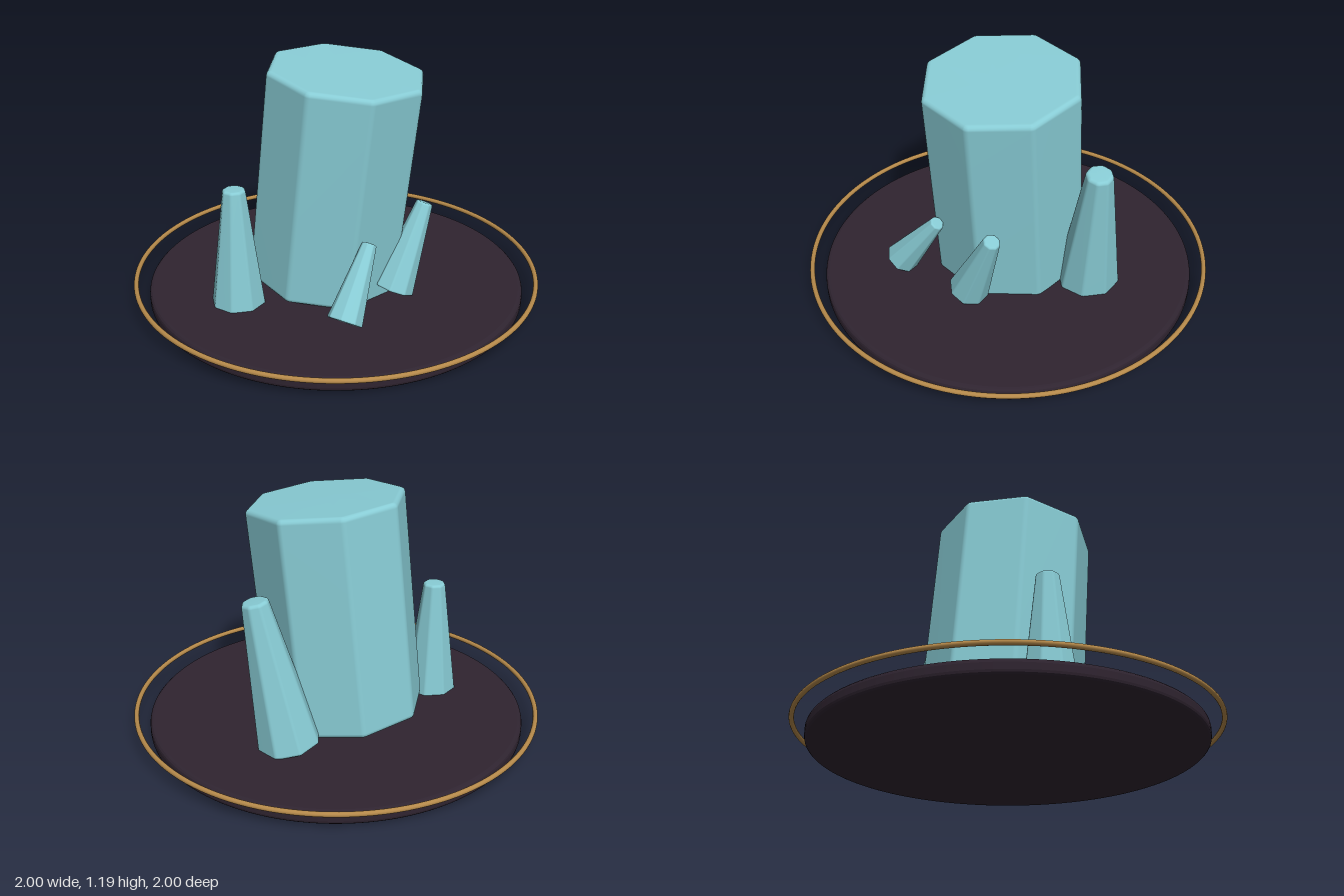
import * as THREE from 'three';

const crystalBlue = new THREE.MeshStandardMaterial({ color: 0x88ccd5 });
crystalBlue.name = 'crystalBlue';
const darkPlum = new THREE.MeshStandardMaterial({ color: 0x2f2430 });
darkPlum.name = 'darkPlum';
const bronze = new THREE.MeshStandardMaterial({ color: 0xb5894a });
bronze.name = 'bronze';

const SIDES = 8, ARC = 4, STEPS = 4;

// Tapered octagonal prism with rounded edges, standing on the origin.
// r0 and r1 are the centre-to-side distances at the base and tip.
function crystalGeometry(r0, r1, length, bevel) {
  const layers = [];
  for (let i = 0; i <= STEPS; i++) {
    const t = (i / STEPS) * Math.PI / 2;
    layers.push([bevel * (1 - Math.sin(t)), bevel * (1 - Math.cos(t))]);
  }
  const upper = layers.map(([inset, y]) => [inset, length - y]).reverse();
  layers.push(...upper);

  const positions = [], index = [];
  const half = Math.PI / SIDES, ring = SIDES * (ARC + 1);
  for (const [inset, y] of layers) {
    const fillet = 1.5 * bevel;
    const apothem = r0 + (r1 - r0) * (y / length);
    const centre = (apothem - fillet) / Math.cos(half);
    for (let s = 0; s < SIDES; s++) {
      const a = (2 * s + 1) * half;
      for (let k = 0; k <= ARC; k++) {
        const b = a + half * (2 * k / ARC - 1), f = fillet - inset;
        positions.push(centre * Math.cos(a) + f * Math.cos(b), y,
          centre * Math.sin(a) + f * Math.sin(b));
      }
    }
  }
  const last = (layers.length - 1) * ring, bottom = layers.length * ring;
  positions.push(0, 0, 0, 0, length, 0);
  for (let i = 0; i < ring; i++) {
    const n = (i + 1) % ring;
    for (let l = 0; l < last; l += ring) {
      index.push(l + i, l + ring + i, l + n, l + n, l + ring + i, l + ring + n);
    }
    index.push(bottom, i, n, bottom + 1, last + n, last + i);
  }
  const geometry = new THREE.BufferGeometry();
  geometry.setAttribute('position', new THREE.Float32BufferAttribute(positions, 3));
  geometry.setIndex(index);
  geometry.computeVertexNormals();
  return geometry;
}

// Crystal running from the centre of its base to the centre of its tip
function crystal(name, base, tip, r0, r1, bevel, roll = 0) {
  const from = new THREE.Vector3(...base);
  const axis = new THREE.Vector3(...tip).sub(from);
  const geometry = crystalGeometry(r0, r1, axis.length(), bevel);
  geometry.rotateY(roll);
  const mesh = new THREE.Mesh(geometry, crystalBlue);
  mesh.name = name;
  mesh.position.copy(from);
  mesh.quaternion.setFromUnitVectors(new THREE.Vector3(0, 1, 0), axis.normalize());
  return mesh;
}

export function createModel() {
  const model = new THREE.Group();
  model.name = 'crystalCluster';

  // Round platform with a softened rim
  const bevel = 0.02;
  const disc = new THREE.Shape().absarc(0, 0, 0.925 - bevel, 0, Math.PI * 2, false);
  const platformGeometry = new THREE.ExtrudeGeometry(disc, {
    depth: 0.07 - 2 * bevel, bevelThickness: bevel, bevelSize: bevel,
    bevelSegments: 3, curveSegments: 64,
  });
  platformGeometry.translate(0, 0, bevel).rotateX(-Math.PI / 2);
  const platform = new THREE.Mesh(platformGeometry, darkPlum);
  platform.name = 'platform';
  model.add(platform);

  // Thin ring floating around the platform
  const ring = new THREE.Mesh(new THREE.TorusGeometry(0.988, 0.012, 12, 128), bronze);
  ring.name = 'ring';
  ring.rotation.x = Math.PI / 2;
  ring.position.y = 0.102;
  model.add(ring);

  // Large central crystal and the four shards around it
  model.add(
    crystal('mainCrystal', [-0.03, 0.08, -0.055], [0.02, 1.15, 0.055], 0.355, 0.355, 0.025),
    crystal('leaningShard', [0.39, 0.07, -0.18], [0.505, 0.8, -0.095], 0.145, 0.06, 0.016, 0.2),
    crystal('uprightShard', [-0.525, 0.06, -0.1], [-0.525, 0.65, -0.105], 0.122, 0.051, 0.013, 0.3),
    crystal('frontRightShard', [-0.315, 0.11, 0.435], [-0.105, 0.415, 0.365], 0.08, 0.033, 0.008, 0.2),
    crystal('frontLeftShard', [0.08, 0.1, 0.335], [0.265, 0.51, 0.345], 0.093, 0.038, 0.01, 0.2),
  );
  return model;
}
